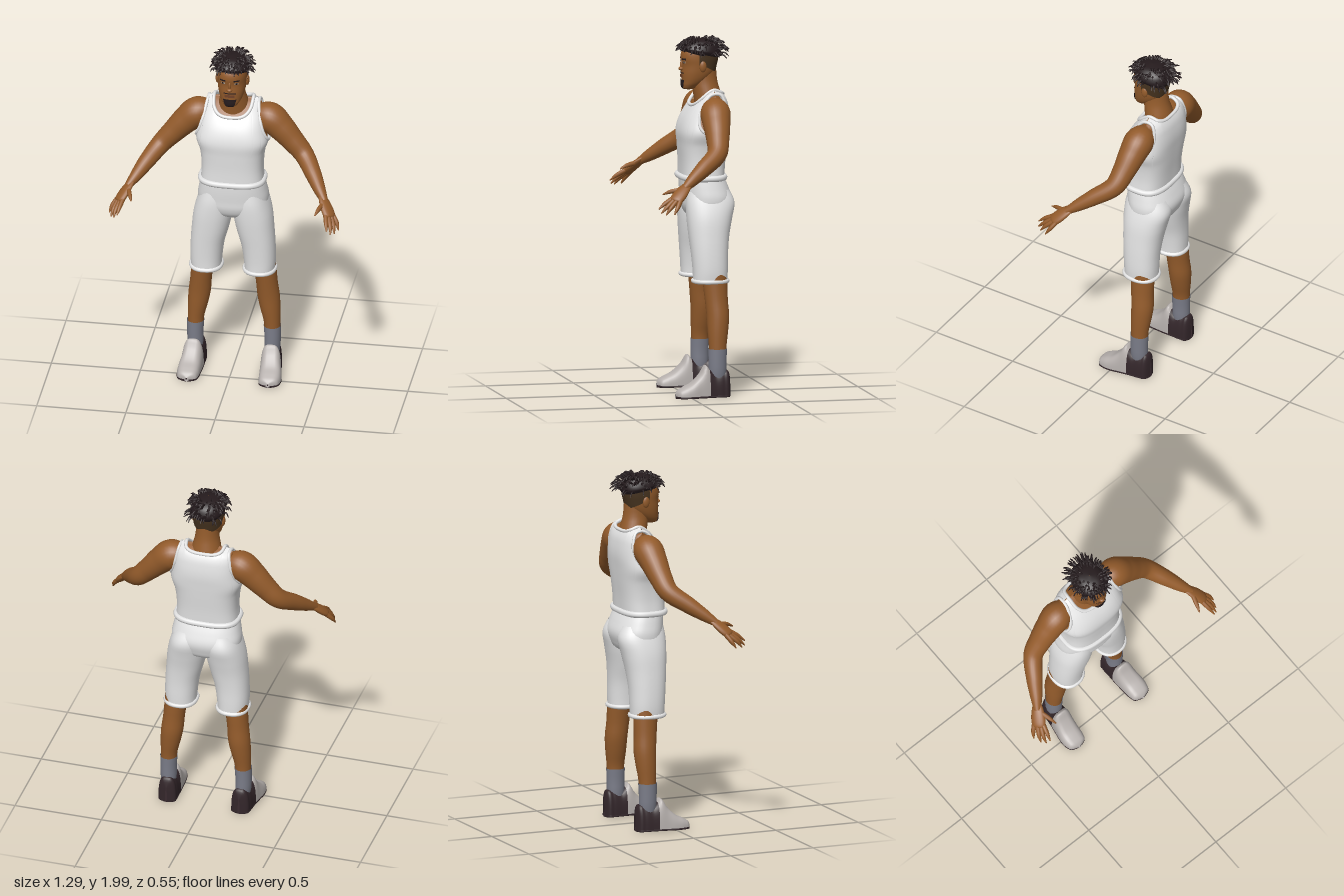
import * as THREE from 'three';
import { mergeVertices, mergeGeometries } from 'three/addons/utils/BufferGeometryUtils.js';

const { sin, cos, abs, sign, max, min, sqrt, PI } = Math;
const V = (x, y, z) => new THREE.Vector3(x, y, z);
const lerp = THREE.MathUtils.lerp;
const rad = THREE.MathUtils.degToRad;
const spow = (a, p) => sign(a) * abs(a) ** p;

const mat = (name, color, side = THREE.FrontSide) => {
  const m = new THREE.MeshStandardMaterial({ color, side });
  m.name = name;
  return m;
};

// Grid surface from a point function f(u, v)
function sheet(f, nu, nv) {
  const pos = [], idx = [], w = nu + 1;
  for (let j = 0; j <= nv; j++)
    for (let i = 0; i <= nu; i++) pos.push(...f(i / nu, j / nv).toArray());
  for (let j = 0; j < nv; j++)
    for (let i = 0; i < nu; i++) {
      const a = j * w + i;
      idx.push(a, a + w, a + 1, a + 1, a + w, a + w + 1);
    }
  let g = new THREE.BufferGeometry();
  g.setAttribute('position', new THREE.Float32BufferAttribute(pos, 3));
  g.setIndex(idx);
  g = mergeVertices(g, 1e-5);
  g.computeVertexNormals();
  return g;
}

// Smooth body from rows [y, centreX, radiusX, frontZ, backZ]; angle 90 degrees is the front
function surf(rows, p = 1) {
  const it = new THREE.CubicInterpolant(rows.map(r => r[0]), rows.flatMap(r => r.slice(1)), 4);
  return (a, y, off = 0) => {
    const [cx, rx, zf, zb] = it.evaluate(y);
    return V(cx + max(0.0005, rx + off) * spow(cos(a), p), y,
      (zf + zb) / 2 + max(0.0005, (zf - zb) / 2 + off) * spow(sin(a), p));
  };
}
const loft = (f, y0, y1, nu = 40, nv = 28, off = 0) =>
  sheet((u, v) => f(u * 2 * PI, lerp(y0, y1, (1 - cos(PI * v)) / 2), off), nu, nv);
const patch = (f, y0, y1, a0, a1, off = 0.003) =>
  sheet((u, v) => f(rad(lerp(a0, a1, u)), lerp(y0, y1, v), off), 12, 6);
const trim = (pts, r) =>
  new THREE.TubeGeometry(new THREE.CatmullRomCurve3(pts, true), 120, r, 8, true);
const band = (f, y, r) =>
  trim(Array.from({ length: 40 }, (_, i) => f(i / 20 * PI, y)), r);

// Tapered limb along points [x, y, z, radius], optionally flattened
function limb(pts, nu = 16, nv = 24, ref = V(0.25, 0.1, 0.96), flat = 1) {
  const curve = new THREE.CatmullRomCurve3(pts.map(p => V(p[0], p[1], p[2])));
  const radius = new THREE.CubicInterpolant(pts.map((_, i) => i / (pts.length - 1)), pts.map(p => p[3]), 1);
  return sheet((u, v) => {
    const T = curve.getTangent(v), N = ref.clone().cross(T).normalize(), B = T.clone().cross(N);
    const r = max(0.0003, radius.evaluate(v)[0]), a = -u * 2 * PI;
    return curve.getPoint(v).addScaledVector(N, r * flat * cos(a)).addScaledVector(B, r * sin(a));
  }, nu, nv);
}

function mirrored(geo) {
  const g = geo.clone().scale(-1, 1, 1), ix = g.index.array;
  for (let i = 0; i < ix.length; i += 3) [ix[i], ix[i + 1]] = [ix[i + 1], ix[i]];
  g.computeVertexNormals();
  return g;
}

export function createModel() {
  const model = new THREE.Group();
  model.name = 'athlete';
  const skin = mat('skin', 0x935b2b), cloth = mat('white cloth', 0xe4e4e4, THREE.DoubleSide);
  const hair = mat('hair', 0x251b1d, THREE.DoubleSide), fade = mat('short hair', 0x46331f, THREE.DoubleSide);
  const sock = mat('sock', 0x7b7d89, THREE.DoubleSide), shoe = mat('shoe', 0xb7b1ae, THREE.DoubleSide);
  const sole = mat('dark shoe', 0x33262a, THREE.DoubleSide), lip = mat('lips', 0x74442a), eye = mat('eye white', 0xb9aa9c);
  const add = (name, geo, m) => {
    const mesh = new THREE.Mesh(geo, m);
    mesh.name = name;
    model.add(mesh);
  };
  const pair = (name, geo, m) => {
    add(name + 'Left', geo, m);
    add(name + 'Right', mirrored(geo), m);
  };

  // Torso and sleeveless shirt, with shoulders sloping outward
  const trunk = surf([
    [1.20, 0, 0.176, 0.012, -0.225], [1.30, 0, 0.171, 0.012, -0.232], [1.40, 0, 0.181, 0.017, -0.243],
    [1.47, 0, 0.202, 0.02, -0.25], [1.54, 0, 0.19, 0, -0.255], [1.60, 0, 0.18, -0.035, -0.25],
    [1.65, 0, 0.172, -0.075, -0.237], [1.69, 0, 0.168, -0.115, -0.205], [1.71, 0, 0.165, -0.152, -0.156]], 0.7);
  const torso = (a, y, off) => {
    const p = trunk(a, y, off);
    p.y -= 0.3 * max(0, abs(p.x) - 0.1) * THREE.MathUtils.smoothstep(y, 1.58, 1.7);
    return p;
  };
  const dip = (lo, k) => lo + (1.71 - lo) * (1 - sqrt(max(0, 1 - k * k)));
  const edge = a => {
    const side = THREE.MathUtils.radToDeg(Math.asin(min(1, abs(sin(a)))));
    if (side < 37) return dip(1.475, side / 37);
    return side < 56 ? 1.71 : dip(sin(a) > 0 ? 1.615 : 1.675, (90 - side) / 34);
  };
  add('torso', loft(torso, 1.36, 1.71, 48, 28, -0.012).translate(0, -0.01, 0), skin);
  add('shirt', sheet((u, v) => torso(u * 2 * PI, lerp(1.2, edge(u * 2 * PI), v)), 180, 30), cloth);
  const rim = (a0, a1) => Array.from({ length: 19 }, (_, i) => {
    const a = rad(lerp(a0, a1, i / 18));
    return torso(a, edge(a));
  });
  pair('armholeTrim', trim(rim(-36.9, 36.9), 0.009), cloth);
  add('neckTrim', trim([...rim(56.1, 123.9), ...rim(236.1, 303.9)], 0.01), cloth);
  add('waistband', band(trunk, 1.217, 0.017), cloth);

  // Shorts
  const hips = surf([
    [0.965, 0, 0.02, -0.09, -0.15], [1.0, 0, 0.13, -0.03, -0.23], [1.05, 0, 0.187, -0.002, -0.26],
    [1.10, 0, 0.197, 0.003, -0.27], [1.16, 0, 0.188, 0.008, -0.252], [1.22, 0, 0.175, 0.01, -0.225]], 0.85);
  add('shortsHips', loft(hips, 0.965, 1.22), cloth);
  const shortLeg = surf([
    [0.645, 0.15, 0.084, -0.03, -0.22], [0.70, 0.15, 0.088, -0.028, -0.222], [0.80, 0.142, 0.094, -0.02, -0.225],
    [0.90, 0.125, 0.104, -0.01, -0.236], [1.0, 0.11, 0.108, -0.002, -0.257], [1.08, 0.1, 0.097, -0.001, -0.272],
    [1.15, 0.09, 0.08, -0.01, -0.245]], 0.88);
  pair('shortsLeg', loft(shortLeg, 0.645, 1.15), cloth);
  pair('shortsHem', band(shortLeg, 0.648, 0.012), cloth);

  // Legs and socks
  pair('leg', loft(surf([
    [0.25, 0.215, 0.044, -0.105, -0.2], [0.30, 0.213, 0.046, -0.103, -0.203], [0.38, 0.203, 0.056, -0.098, -0.214],
    [0.46, 0.193, 0.062, -0.095, -0.221], [0.54, 0.185, 0.06, -0.088, -0.216], [0.62, 0.177, 0.062, -0.08, -0.215],
    [0.74, 0.165, 0.068, -0.07, -0.21]]), 0.25, 0.74, 28), skin);
  pair('sock', loft(surf([
    [0.08, 0.215, 0.034, -0.11, -0.19], [0.14, 0.216, 0.044, -0.102, -0.2], [0.20, 0.217, 0.045, -0.1, -0.201],
    [0.275, 0.215, 0.048, -0.099, -0.204]]), 0.08, 0.275, 28, 10), sock);

  // Shoes from cross-sections [z, centreX, half width, height]
  const shoeRows = [
    [-0.224, 0.21, 0.005, 0.1], [-0.215, 0.21, 0.036, 0.14], [-0.18, 0.212, 0.051, 0.15], [-0.13, 0.215, 0.054, 0.14],
    [-0.10, 0.217, 0.056, 0.165], [-0.08, 0.219, 0.058, 0.185], [-0.05, 0.222, 0.06, 0.14], [0, 0.228, 0.063, 0.09],
    [0.05, 0.229, 0.058, 0.064], [0.08, 0.228, 0.04, 0.045], [0.092, 0.228, 0.004, 0.028]];
  const last = new THREE.CubicInterpolant(shoeRows.map(r => r[0]), shoeRows.flatMap(r => r.slice(1)), 3);
  const shoePart = (z0, z1, top = 1, off = 0) => sheet((u, v) => {
    const z = lerp(z0, z1, (1 - cos(PI * v)) / 2), a = u * 2 * PI, [cx, w, h] = last.evaluate(z);
    const up = sin(a) > 0 ? min(top, (h - 0.012) * sin(a) ** 0.75) : 0.006 * sin(a);
    return V(cx + (w + off) * spow(cos(a), 0.6), 0.014 + up, z);
  }, 36, 28);
  pair('shoeFront', shoePart(0.092, -0.1), shoe);
  pair('shoeHeel', shoePart(-0.1, -0.224), sole);
  pair('shoeSole', shoePart(0.09, -0.22, 0.008, 0.001).translate(0, -0.003, 0), sole);

  // Arms and hands
  pair('arm', limb([
    [0.13, 1.60, -0.145, 0.06], [0.20, 1.59, -0.142, 0.083], [0.265, 1.535, -0.135, 0.076], [0.335, 1.46, -0.125, 0.064],
    [0.40, 1.39, -0.105, 0.055], [0.467, 1.32, -0.015, 0.046], [0.515, 1.265, 0.06, 0.034],
    [0.552, 1.224, 0.115, 0.02]], 24, 48), skin);
  pair('palm', limb([
    [0.53, 1.248, 0.085, 0.022], [0.552, 1.22, 0.118, 0.035], [0.575, 1.187, 0.152, 0.041],
    [0.592, 1.162, 0.178, 0.034], [0.597, 1.155, 0.184, 0]], 20, 16, V(0.6, -0.15, -0.78), 0.5), skin);
  const fingers = {
    thumb: [[0.55, 1.22, 0.12], [0.528, 1.207, 0.19], [0.514, 1.19, 0.232]],
    indexFinger: [[0.568, 1.178, 0.182], [0.58, 1.147, 0.235], [0.588, 1.118, 0.272]],
    middleFinger: [[0.582, 1.17, 0.178], [0.602, 1.13, 0.228], [0.608, 1.097, 0.262]],
    ringFinger: [[0.594, 1.166, 0.166], [0.618, 1.125, 0.21], [0.626, 1.09, 0.238]],
    littleFinger: [[0.602, 1.165, 0.15], [0.631, 1.125, 0.175], [0.643, 1.092, 0.195]] };
  for (const [name, [a, b, c]] of Object.entries(fingers))
    pair(name, limb([[...a, 0.014], [...b, 0.0115], [...c, 0.003]], 10, 10), skin);

  // Neck and head
  add('neck', loft(surf([
    [1.60, 0, 0.09, -0.075, -0.225], [1.68, 0, 0.082, -0.065, -0.217], [1.74, 0, 0.067, -0.056, -0.2],
    [1.85, 0, 0.062, -0.06, -0.19]]), 1.6, 1.85, 32, 14), skin);
  const head = surf([
    [1.698, 0, 0, -0.035, -0.037], [1.704, 0, 0.026, -0.01, -0.065], [1.72, 0, 0.045, 0, -0.09],
    [1.75, 0, 0.063, 0.001, -0.135], [1.79, 0, 0.075, 0.003, -0.176], [1.84, 0, 0.081, 0, -0.192],
    [1.88, 0, 0.084, 0.006, -0.2], [1.92, 0, 0.081, -0.004, -0.197], [1.955, 0, 0.06, -0.035, -0.172],
    [1.972, 0, 0.03, -0.07, -0.135], [1.978, 0, 0, -0.1, -0.102]], 0.9);
  add('head', loft(head, 1.698, 1.978, 48, 40), skin);
  const ball = (x, y, z, sx, sy, sz) => new THREE.SphereGeometry(1, 16, 12).scale(sx, sy, sz).translate(x, y, z);
  add('noseBridge', ball(0, 1.838, 0.001, 0.008, 0.026, 0.011), skin);
  add('noseTip', ball(0, 1.817, 0.005, 0.016, 0.011, 0.016), skin);
  pair('ear', ball(0.083, 1.835, -0.1, 0.012, 0.032, 0.02), skin);
  pair('eye', patch(head, 1.85, 1.861, 58, 74, 0.002), eye);
  pair('iris', patch(head, 1.85, 1.861, 63, 69, 0.0035), hair);
  pair('eyebrow', patch(head, 1.869, 1.878, 53, 77), hair);
  add('lips', patch(head, 1.77, 1.787, 71, 109, 0.005), lip);
  add('moustache', patch(head, 1.791, 1.797, 66, 114), hair);
  add('goatee', patch(head, 1.703, 1.757, 60, 120, 0.005), hair);

  // Shaved back and sides, then the hair cap
  add('shortHair', sheet((u, v) => {
    const a = rad(lerp(172, 368, u));
    return head(a, lerp(1.84 + 0.045 * min(0, sin(a)), 1.92, v), 0.004);
  }, 40, 10), fade);
  add('hairCap', sheet((u, v) => {
    const a = u * 2 * PI, y0 = 1.888 + 0.027 * sin(a);
    return head(a, lerp(y0, 1.978, sin(v * PI / 2)), 0.014 * min(1, v * 6, (1 - v) * 5));
  }, 48, 24).translate(0, 0.006, 0), hair);

  // Twisted locks, longest at the back
  let seed = 7;
  const rnd = () => (seed = (seed * 16807) % 2147483647) / 2147483647;
  const locks = [];
  for (let i = 0; i < 170; i++) {
    const a = i * 2.39996, y = lerp(1.9 + 0.02 * sin(a), 1.972, rnd());
    const p = head(a, y, 0.006), d = p.clone().sub(V(0, 1.89, -0.1)).normalize();
    const len = 0.03 + 0.016 * rnd() + 0.022 * max(0, -sin(a));
    d.y *= 0.5;
    d.x += (rnd() - 0.5) * 0.5;
    const mid = p.clone().addScaledVector(d, len * 0.6), tip = p.clone().addScaledVector(d, len);
    mid.y = min(1.992, mid.y + 0.008);
    tip.y = min(1.994, tip.y - 0.02 * rnd());
    locks.push(limb([[p.x, p.y, p.z, 0.006], [mid.x, mid.y, mid.z, 0.005], [tip.x, tip.y, tip.z, 0.002]], 6, 5));
  }
  add('hairLocks', mergeGeometries(locks), hair);
  return model;
}
